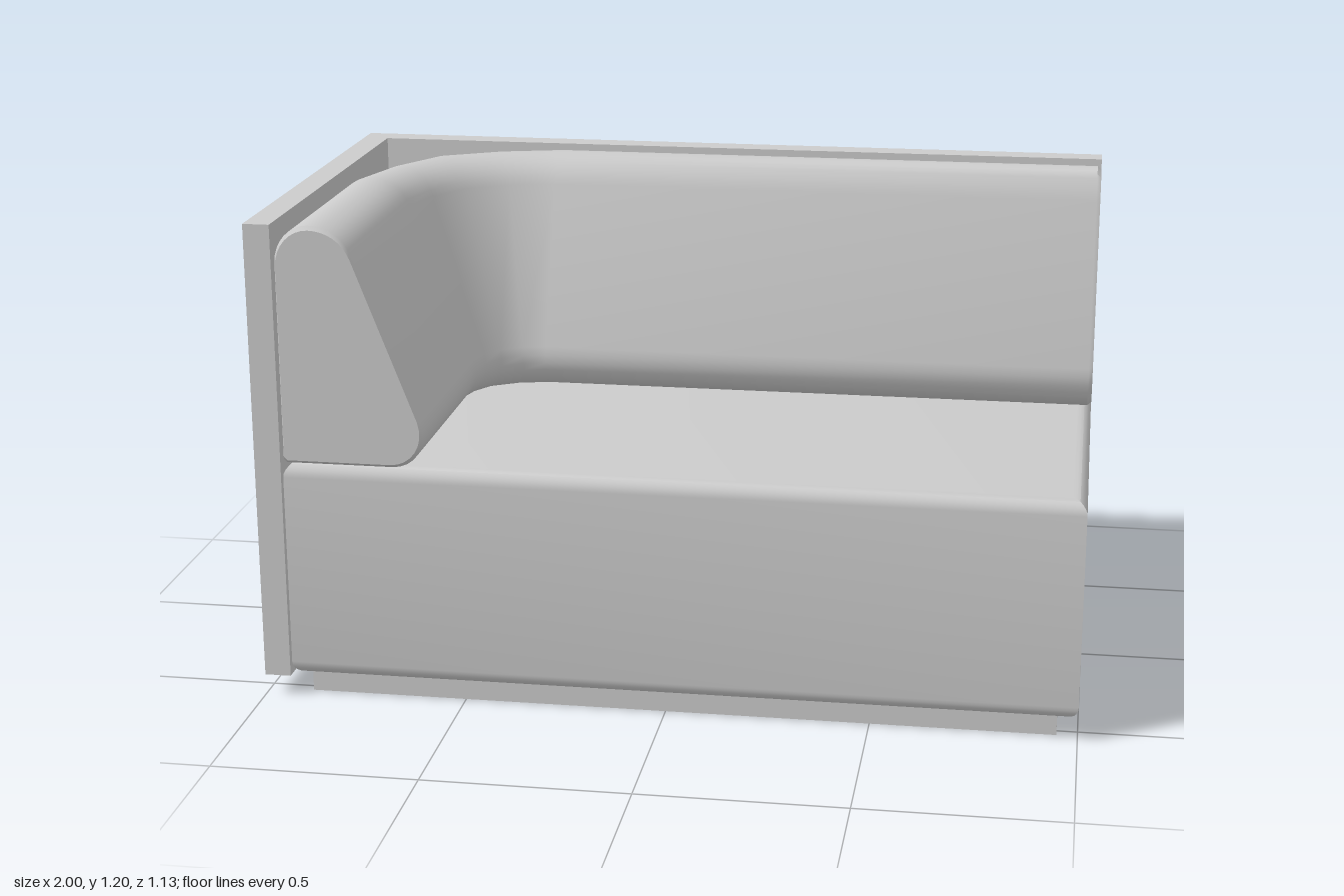
import * as THREE from 'three';
import { toCreasedNormals } from 'three/addons/utils/BufferGeometryUtils.js';

const material = new THREE.MeshStandardMaterial({ color: 0xcccccc });

function part(name, geometry) {
  const mesh = new THREE.Mesh(geometry, material);
  mesh.name = name;
  return mesh;
}

function box(name, x0, x1, y0, y1, z0, z1) {
  const mesh = part(name, new THREE.BoxGeometry(x1 - x0, y1 - y0, z1 - z0));
  mesh.position.set((x0 + x1) / 2, (y0 + y1) / 2, (z0 + z1) / 2);
  return mesh;
}

// Polygon in plan (x, z), extruded upwards from y0 to y1
function slab(points, y0, y1, bevel = 0) {
  const shape = new THREE.Shape(points.map(([x, z]) => new THREE.Vector2(x, -z)));
  const geometry = new THREE.ExtrudeGeometry(shape, {
    depth: y1 - y0 - 2 * bevel, bevelEnabled: bevel > 0,
    bevelSize: bevel, bevelThickness: bevel, bevelOffset: -bevel, bevelSegments: 6,
  });
  geometry.rotateX(-Math.PI / 2).translate(0, y0 + bevel, 0);
  return geometry;
}

// Wedge-shaped cushion section swept along an arm, a rounded corner and the back
function cushionGeometry() {
  const section = new THREE.Shape();
  section.moveTo(0.008, 0.606);
  section.lineTo(0, 0.614);
  section.lineTo(0, 1.1);
  section.bezierCurveTo(0, 1.155, 0.04, 1.195, 0.085, 1.195);
  section.bezierCurveTo(0.13, 1.195, 0.17, 1.17, 0.188, 1.125);
  section.lineTo(0.343, 0.72);
  section.bezierCurveTo(0.363, 0.66, 0.325, 0.606, 0.27, 0.606);
  section.closePath();
  const profile = section.getPoints(8).slice(0, -1);
  const n = profile.length;
  const middle = new THREE.Vector2(0.14, 0.87);

  // Each station: angle round the corner, shift in x and z, section scale
  const stations = [[0, 0, 0.563, 0.97], [0, 0, 0.553, 1]];
  for (let i = 0; i <= 4; i++) stations.push([i * Math.PI / 8, 0, 0, 1, i % 2]);
  stations.push([Math.PI / 2, 1.42, 0, 1], [Math.PI / 2, 1.43, 0, 0.97]);

  const positions = [];
  const place = (p, [angle, dx, dz, scale, flat = 0]) => {
    const q = p.clone().sub(middle).multiplyScalar(scale).add(middle);
    let r = 0.5 - q.x;
    r *= 1 - 0.07 * r * flat; // the outer bend is slightly faceted
    positions.push(-0.43 - r * Math.cos(angle) + dx, q.y, -r * Math.sin(angle) + dz);
  };
  for (const s of stations) for (const p of profile) place(p, s);
  const last = stations.length - 1;
  place(middle, stations[0]);
  place(middle, stations[last]);

  const index = [];
  const first = (last + 1) * n;
  for (let j = 0; j < n; j++) {
    const k = (j + 1) % n;
    for (let i = 0; i < last; i++) {
      const a = i * n + j, b = i * n + k;
      index.push(a, b, a + n, b, b + n, a + n);
    }
    index.push(first, k, j, first + 1, last * n + j, last * n + k);
  }
  const geometry = new THREE.BufferGeometry();
  geometry.setAttribute('position', new THREE.Float32BufferAttribute(positions, 3));
  geometry.setIndex(index);
  return toCreasedNormals(geometry, 0.7);
}

export function createModel() {
  const sofa = new THREE.Group();
  sofa.name = 'cornerSofa';

  // Recessed base
  sofa.add(box('plinth', -0.89, 0.95, 0, 0.056, -0.455, 0.525));

  // Seat block, rounded along its top and bottom edges
  const seat = slab([[-0.93, 0.565], [1, 0.565], [1, -0.497], [-0.93, -0.497]], 0.055, 0.605, 0.035);
  sofa.add(part('seat', toCreasedNormals(seat, 0.6)));

  // L-shaped outer panel around the side and back
  sofa.add(part('outerPanel', slab([
    [-1, 0.567], [-0.935, 0.567], [-0.935, -0.502], [1, -0.502], [1, -0.567], [-1, -0.567],
  ], 0.052, 1.197)));

  sofa.add(part('backCushion', cushionGeometry()));
  return sofa;
}
